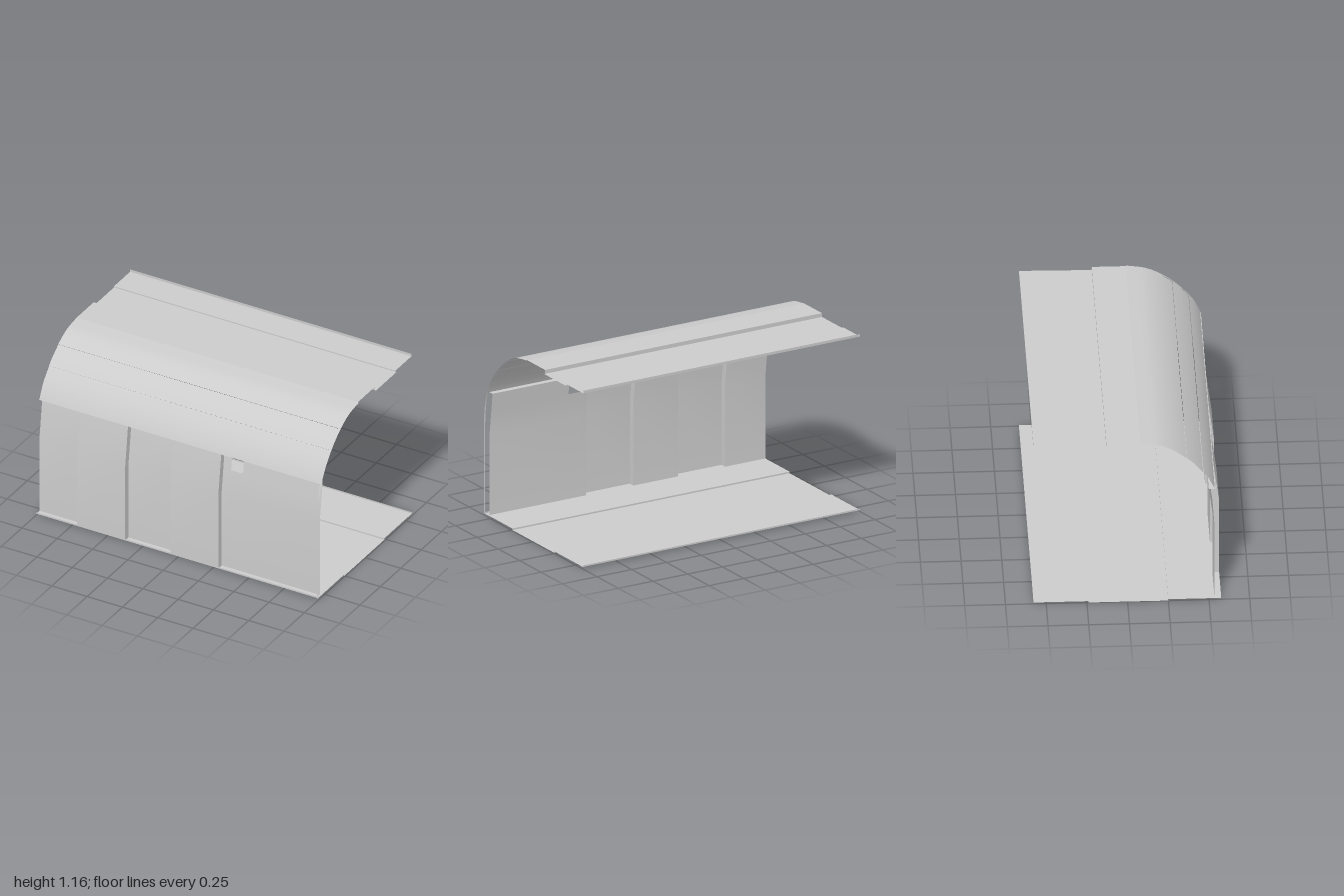
import * as THREE from 'three';
import { toCreasedNormals } from 'three/addons/utils/BufferGeometryUtils.js';

const material = new THREE.MeshStandardMaterial({ color: 0xcccccc, side: THREE.DoubleSide });

// Sheet swept along x: a [z, y] profile crossed with x cuts; skip(column, row) leaves an opening.
function sheet(name, xs, profile, skip = () => false) {
  const positions = [], index = [], n = xs.length;
  for (const [z, y] of profile) for (const x of xs) positions.push(x, y, z);
  for (let r = 0; r < profile.length - 1; r++) {
    for (let c = 0; c < n - 1; c++) {
      if (skip(c, r)) continue;
      const a = r * n + c, b = a + n;
      index.push(a, a + 1, b + 1, a, b + 1, b);
    }
  }
  const geometry = new THREE.BufferGeometry();
  geometry.setAttribute('position', new THREE.Float32BufferAttribute(positions, 3));
  geometry.setIndex(index);
  const mesh = new THREE.Mesh(toCreasedNormals(geometry, 0.5), material);
  mesh.name = name;
  return mesh;
}

// Side wall sections: vertical below, leaning inward above the bend
const outerZ = y => 0.575 - Math.max(0, y - 0.54) * 0.13;
const innerZ = y => outerZ(y) - 0.041;
const wall = (zAt, ys) => ys.map(y => [zAt(y), y]);
const levels = [0.01, 0.54, 0.81];

// Curved shoulder from the side wall to the roof
const shoulder = new THREE.CatmullRomCurve3([
  [0.577, 0.6], [0.565, 0.72], [0.539, 0.81], [0.485, 0.91], [0.4, 1.008],
  [0.3, 1.088], [0.2, 1.136], [0.08, 1.157],
].map(([z, y]) => new THREE.Vector3(0, y, z)));
const shoulderPoints = shoulder.getPoints(84).map(p => [p.z, p.y]);

// Part of the shoulder between two heights, set in by a small depth
function shoulderBand(y0, y1, depth) {
  const at = y => {
    const i = Math.max(1, shoulderPoints.findIndex(p => p[1] >= y - 1e-6));
    const [a, b] = [shoulderPoints[i - 1], shoulderPoints[i]];
    return [THREE.MathUtils.mapLinear(y, a[1], b[1], a[0], b[0]), y];
  };
  const points = [at(y0)];
  for (const p of shoulderPoints) if (p[1] > y0 + 0.003 && p[1] < y1 - 0.003) points.push(p);
  points.push(at(y1));
  return points.map(([z, y]) => {
    const d = new THREE.Vector2(z - 0.05, y - 0.62).normalize();
    return [z - d.x * depth, y - d.y * depth];
  });
}

export function createModel() {
  const group = new THREE.Group();

  // Floor: shallow sunken centre with a lip along each long side
  group.add(sheet('floor', [-1, 0.995], [
    [0.575, 0.02], [0.575, 0.01], [0.25, 0.01], [0.25, 0],
    [-0.24, 0], [-0.24, 0.01], [-0.578, 0.01], [-0.578, 0.02],
  ]));

  // Inset wall panels, the widest with a small square window
  group.add(sheet('endWallPanel', [-1, -0.71], wall(innerZ, levels)));
  group.add(sheet('middleWallPanel', [-0.37, -0.05], wall(innerZ, levels)));
  group.add(sheet('windowWallPanel', [0.29, 0.345, 0.43, 0.985],
    wall(innerZ, [0.01, 0.54, 0.70, 0.79, 0.81]), (c, r) => c === 1 && r === 2));

  // Doors stand proud of the wall panels, closed by jambs on both sides
  for (const [x0, x1] of [[-0.71, -0.37], [-0.05, 0.29]]) {
    group.add(sheet('door', [x0, x1], wall(outerZ, levels)));
    for (const x of [x0, x1]) {
      const positions = levels.flatMap(y => [x, y, innerZ(y), x, y, outerZ(y)]);
      const geometry = new THREE.BufferGeometry();
      geometry.setAttribute('position', new THREE.Float32BufferAttribute(positions, 3));
      geometry.setIndex([0, 2, 1, 1, 2, 3, 2, 4, 3, 3, 4, 5]);
      geometry.computeVertexNormals();
      const jamb = new THREE.Mesh(geometry, material);
      jamb.name = 'doorJamb';
      group.add(jamb);
    }
  }

  // Ledge closing the wall top against the shoulder
  group.add(sheet('wallTopLedge', [-1, 0.985], [[innerZ(0.81), 0.81], [outerZ(0.81), 0.81]]));

  // Shoulder skin in alternating plain and slightly sunken bands
  const heights = [0.81, 0.875, 0.935, 0.99, 1.04, 1.085, 1.157];
  for (let i = 0; i < heights.length - 1; i++) {
    const sunken = i % 2 === 0;
    group.add(sheet(sunken ? 'sunkenRoofBand' : 'roofBand', [-1, sunken ? 0.99 : 0.995],
      shoulderBand(heights[i], heights[i + 1], sunken && i < 5 ? 0.003 : 0)));
  }

  // Narrow end rib following the whole outline
  group.add(sheet('endRib', [0.99, 1], [[0.577, 0.01], ...shoulderPoints]));

  // Flat roof: high front strip, lower centre channel, back strip with raised lip
  group.add(sheet('roofFrontStrip', [-1, 0.993], [[0.08, 1.157], [-0.13, 1.157], [-0.13, 1.132]]));
  group.add(sheet('roofChannel', [-1, 1], [[-0.13, 1.132], [-0.38, 1.132]]));
  group.add(sheet('roofBackStrip', [-1, 0.993],
    [[-0.38, 1.132], [-0.38, 1.14], [-0.578, 1.14], [-0.578, 1.157]]));

  return group;
}
